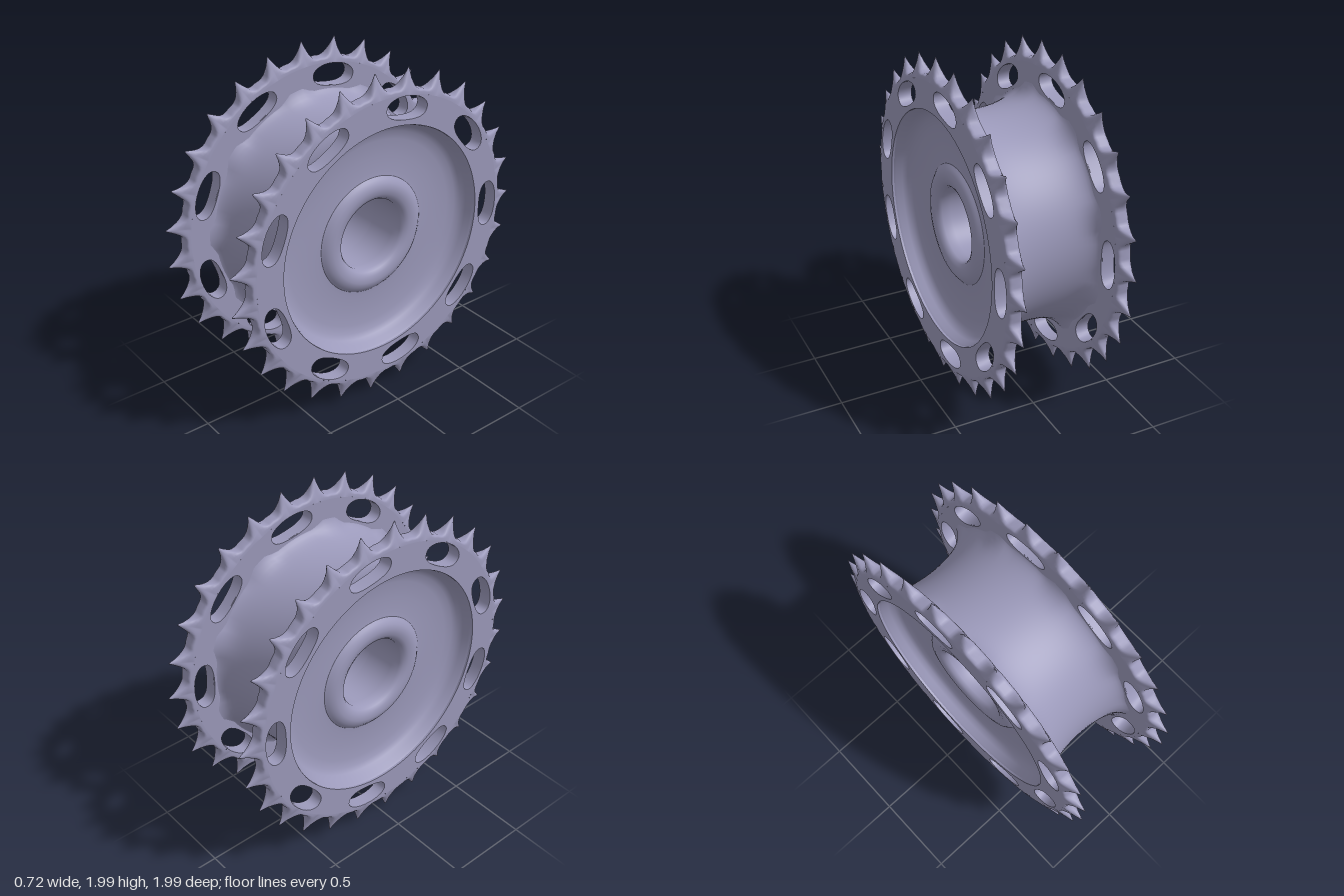
import * as THREE from 'three';
import { toCreasedNormals } from 'three/addons/utils/BufferGeometryUtils.js';

const TEETH = 27, SLOTS = 9, SEGMENTS = 108;
const RING_X = 0.32, HALF_THICK = 0.041, INNER_R = 0.688, RIM_R = 0.858;
const SLOT_R = 0.785, SLOT_HALF_ANGLE = 0.183;

const polar = (r, a) => new THREE.Vector2(r * Math.cos(a), r * Math.sin(a));
const signedPow = (v, p) => Math.sign(v) * Math.abs(v) ** p;

// Flat annular plate with rounded slots
function plateGeometry() {
  const shape = new THREE.Shape().absarc(0, 0, RIM_R, 0, Math.PI * 2, false);
  shape.holes.push(new THREE.Path().absarc(0, 0, INNER_R, 0, Math.PI * 2, true));
  for (let i = 0; i < SLOTS; i++) {
    const points = [];
    for (let k = 0; k < 28; k++) {
      const t = -k / 28 * Math.PI * 2;
      const a = i / SLOTS * Math.PI * 2 + SLOT_HALF_ANGLE * signedPow(Math.sin(t), 0.9);
      points.push(polar(SLOT_R + 0.067 * signedPow(Math.cos(t), 0.85), a));
    }
    shape.holes.push(new THREE.Path(points));
  }
  const geo = new THREE.ExtrudeGeometry(shape, {
    depth: HALF_THICK * 2, bevelEnabled: false, curveSegments: SEGMENTS,
  });
  geo.translate(0, 0, -HALF_THICK);
  geo.rotateY(Math.PI / 2);
  return toCreasedNormals(geo, 0.6);
}

// Rim of pointed teeth: cross-sections go from boxy in the valleys to wedges at the tips
function teethGeometry() {
  // one tooth: fraction of half a pitch from the tip, radius
  const tooth = [[-1, 0.888], [-0.75, 0.885], [-0.58, 0.89], [-0.42, 0.905], [-0.28, 0.932],
    [-0.14, 0.966], [-0.04, 0.994], [0, 0.998], [0.04, 0.994], [0.14, 0.966],
    [0.28, 0.932], [0.42, 0.905], [0.58, 0.89], [0.75, 0.885]];
  const steps = 12, row = steps + 1, columns = TEETH * tooth.length;
  const positions = [], index = [];
  for (let c = 0; c < columns; c++) {
    const [f, top] = tooth[c % tooth.length];
    const angle = (2 * Math.floor(c / tooth.length) + f) * Math.PI / TEETH;
    const power = THREE.MathUtils.mapLinear(top, 0.885, 0.998, 0.5, 1.9);
    for (let k = 0; k < row; k++) {
      const a = (k / steps - 0.5) * Math.PI;
      const p = polar(RIM_R + (top - RIM_R) * Math.abs(Math.cos(a)) ** power, angle);
      positions.push(p.x, p.y, HALF_THICK * signedPow(Math.sin(a), power));
      if (k < steps) {
        const i = c * row + k, j = ((c + 1) % columns) * row + k;
        index.push(i, j, j + 1, i, j + 1, i + 1);
      }
    }
  }
  const geo = new THREE.BufferGeometry();
  geo.setAttribute('position', new THREE.Float32BufferAttribute(positions, 3));
  geo.setIndex(index);
  geo.rotateY(Math.PI / 2);
  geo.computeVertexNormals();
  return geo;
}

// Surface of revolution about the x axis from [radius, x] pairs
function turned(profile) {
  const geo = new THREE.LatheGeometry(profile.map(([r, x]) => new THREE.Vector2(r, x)), SEGMENTS);
  return geo.rotateZ(-Math.PI / 2);
}

// Concave drum whose ends flare up the rings between the slots
function drumGeometry() {
  const profile = [];
  for (let i = 0; i <= 24; i++) {
    const a = Math.PI * (i / 24 - 0.5);
    profile.push([0.72 - 0.09 * Math.cos(a), 0.285 * Math.sin(a)]);
  }
  const geo = turned(profile);
  const pos = geo.attributes.position;
  const pitch = Math.PI * 2 / SLOTS;
  for (let i = 0; i < pos.count; i++) {
    const [x, y, z] = [pos.getX(i), pos.getY(i), pos.getZ(i)];
    const turn = Math.atan2(y, -z) / pitch;
    const fromSlot = Math.abs(turn - Math.round(turn)) * pitch;
    const flare = 0.045 * THREE.MathUtils.smoothstep(fromSlot, SLOT_HALF_ANGLE, 0.3);
    const scale = 1 + flare * Math.abs(x / 0.285) ** 8 / Math.hypot(y, z);
    pos.setXYZ(i, x, y * scale, z * scale);
  }
  return toCreasedNormals(geo, 0.6);
}

export function createModel() {
  const model = new THREE.Group();
  model.name = 'sprocketWheel';
  const material = new THREE.MeshStandardMaterial({ color: 0x9b99ba });
  const add = (name, geo) => {
    const mesh = new THREE.Mesh(geo, material);
    mesh.name = name;
    mesh.position.set(0, 0.996, 0.003);
    model.add(mesh);
    return mesh;
  };

  add('drum', drumGeometry());

  // Recessed outer face with a raised collar, running into the axle bore
  const dish = toCreasedNormals(turned([
    [0.69, 0.35], [0.68, 0.335], [0.668, 0.3], [0.65, 0.272], [0.62, 0.254], [0.57, 0.243],
    [0.48, 0.238], [0.385, 0.237], [0.355, 0.24], [0.34, 0.253], [0.32, 0.267], [0.29, 0.274],
    [0.255, 0.269], [0.23, 0.256], [0.217, 0.235], [0.215, 0.18], [0.215, 0],
  ]), 0.6);
  const plate = plateGeometry();
  const teeth = teethGeometry();
  for (const [side, sign] of [['left', 1], ['right', -1]]) {
    add(side + 'RingPlate', plate).position.x = sign * RING_X;
    add(side + 'RingTeeth', teeth).position.x = sign * RING_X;
    add(side + 'Dish', dish).rotation.y = sign > 0 ? 0 : Math.PI;
  }
  return model;
}
